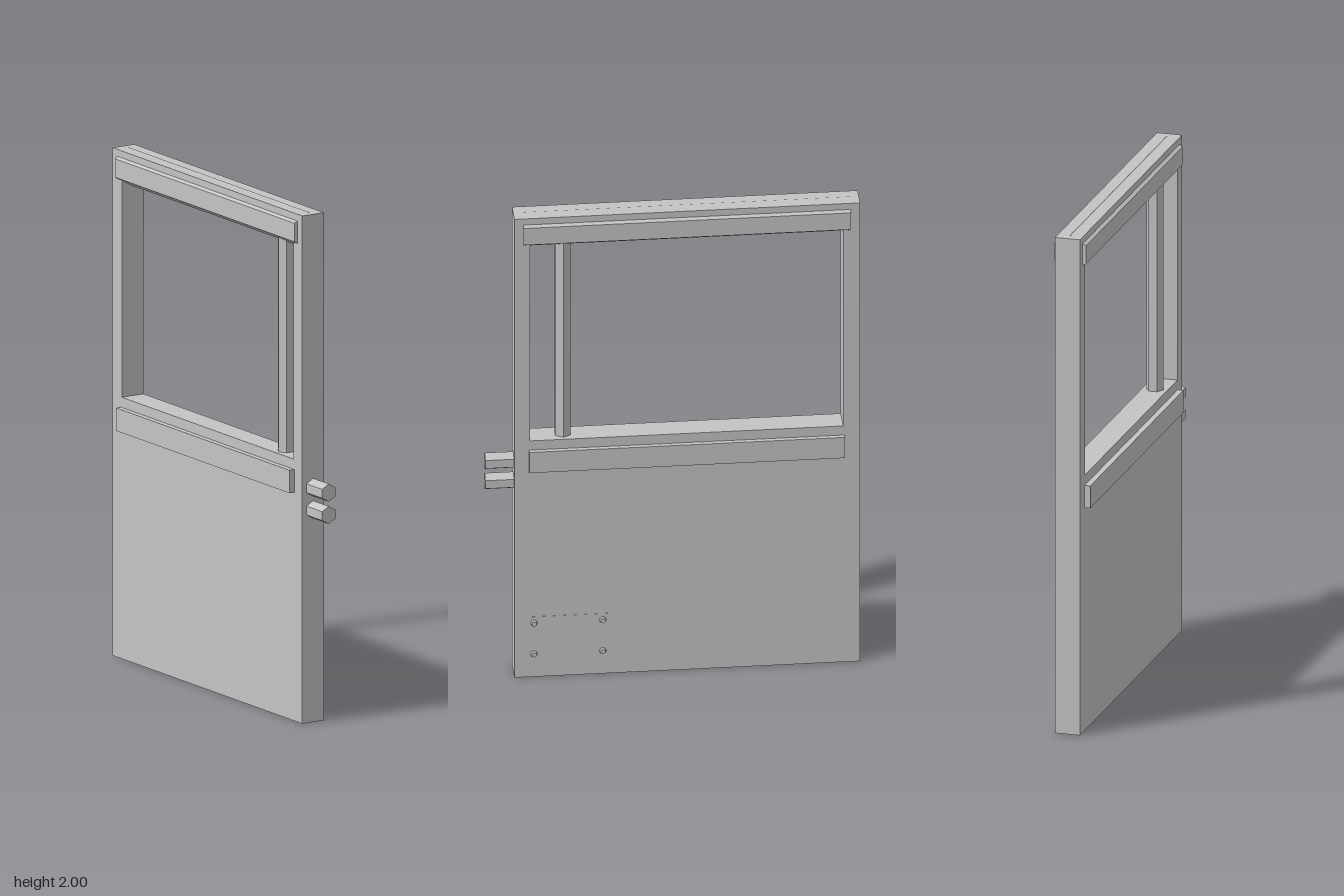
import * as THREE from 'three';

const paint = new THREE.MeshStandardMaterial({ color: 0xc4c4c4, flatShading: true });
paint.name = 'plain grey';

export function createModel() {
  const group = new THREE.Group();
  group.name = 'door';

  const add = (name, geometry, x, y, z) => {
    const mesh = new THREE.Mesh(geometry, paint);
    mesh.name = name;
    mesh.position.set(x, y, z);
    group.add(mesh);
    return mesh;
  };
  // Six-sided bar lying along z, with an edge at top and bottom
  const hexBar = (radius, length) =>
    new THREE.CylinderGeometry(radius, radius, length, 6).rotateX(Math.PI / 2);

  // Door slab with window opening, drawn in (z, y) and extruded across x
  const rectangle = (path, z0, y0, z1, y1) => {
    path.moveTo(z0, y0);
    path.lineTo(z1, y0);
    path.lineTo(z1, y1);
    path.lineTo(z0, y1);
    path.closePath();
    return path;
  };
  const outline = rectangle(new THREE.Shape(), -0.72, 0, 0.61, 2);
  outline.holes.push(rectangle(new THREE.Path(), -0.655, 1.03, 0.55, 1.9));
  const slab = new THREE.ExtrudeGeometry(outline, { depth: 0.1, bevelEnabled: false });
  slab.translate(0, 0, -0.05).rotateY(-Math.PI / 2);
  add('doorPanel', slab, 0, 0, 0);

  // Hexagonal rail through the head of the window
  add('topRail', hexBar(0.073, 1.26), 0, 1.929, -0.054);

  // Upright bar dividing the window
  const post = new THREE.CylinderGeometry(0.034, 0.034, 0.88, 6).rotateY(Math.PI / 6);
  add('windowPost', post, 0, 1.45, 0.42);

  // Sill strip standing proud of both faces
  add('sillStrip', new THREE.BoxGeometry(0.142, 0.09, 1.215), -0.002, 0.945, -0.053);

  // Latch bolts on the leading edge
  for (const y of [0.925, 0.837]) add('latchBolt', hexBar(0.035, 0.16), 0, y, 0.64);

  // Thin plate with four fixings low on the left face
  add('plate', new THREE.BoxGeometry(0.006, 0.19, 0.325), 0.048, 0.167, 0.398);
  for (const y of [0.1, 0.235]) {
    for (const z of [0.27, 0.535]) {
      const head = new THREE.CylinderGeometry(0.01, 0.015, 0.014, 8).rotateZ(-Math.PI / 2);
      add('plateScrew', head, 0.055, y, z);
    }
  }
  return group;
}
